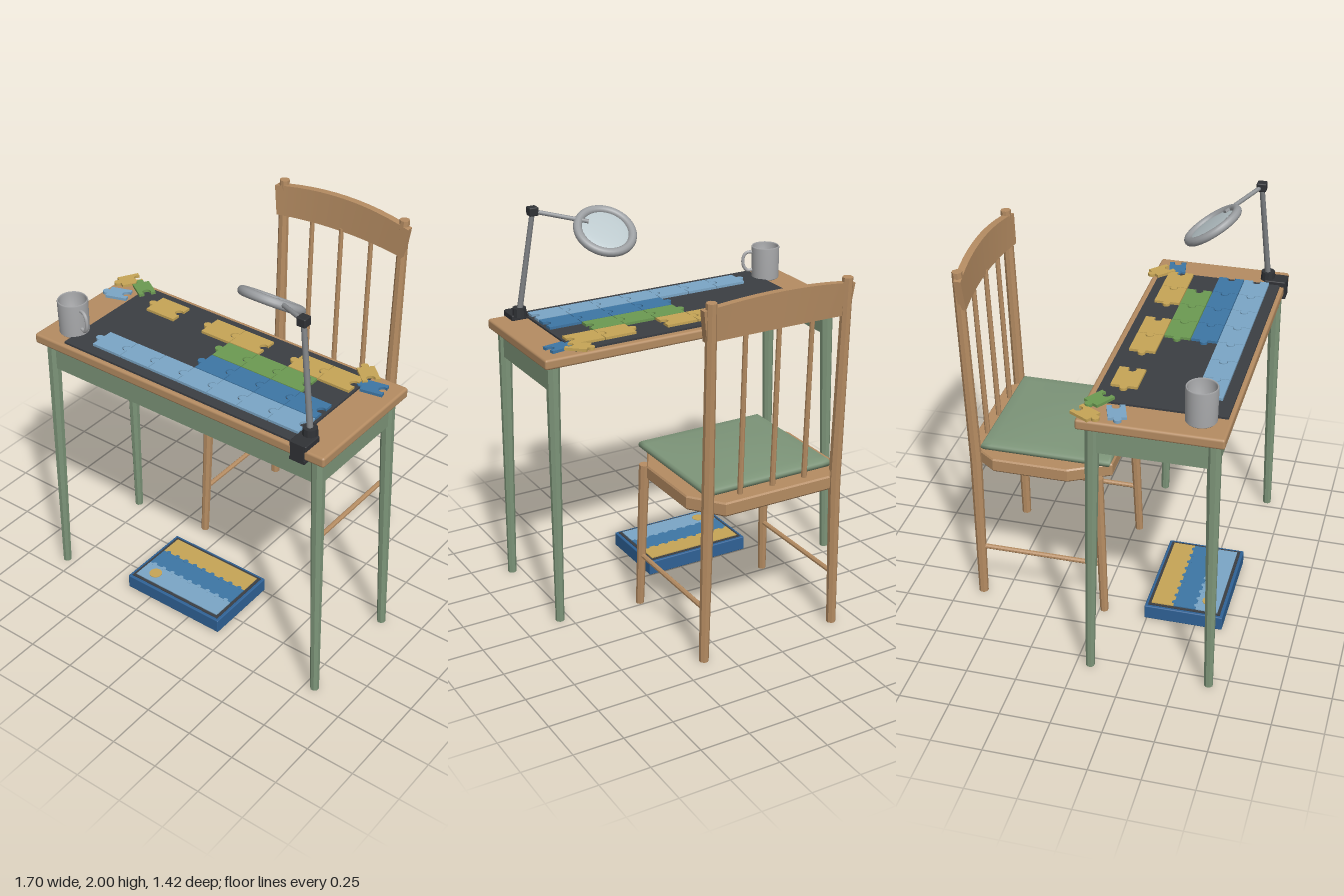
import * as THREE from 'three';
import { mergeVertices } from 'three/addons/utils/BufferGeometryUtils.js';
import { RoundedBoxGeometry } from 'three/addons/geometries/RoundedBoxGeometry.js';

const mat = (color, extra = {}) => new THREE.MeshStandardMaterial({ color, ...extra });
const V = (x, y, z) => new THREE.Vector3(x, y, z);
const WOOD = 0xb58c62, GREEN = 0x7d9579, DARK = 0x303236, SLATE = 0x3b3e43;
const YELLOW = 0xc6a556, LEAF = 0x6c9a52, BLUE = 0x3d76a5, SKY = 0x7ba6c6, NAVY = 0x2f6296;

export function createModel() {
  const model = new THREE.Group();
  const group = (name) => {
    const g = new THREE.Group();
    g.name = name;
    model.add(g);
    return g;
  };
  const add = (parent, name, geo, color, extra) => {
    const m = new THREE.Mesh(geo, mat(color, extra));
    m.name = name;
    parent.add(m);
    return m;
  };
  // box from its min and max corners, optionally rounded
  const box = (parent, name, a, b, color, r = 0) => {
    const s = b.map((v, i) => v - a[i]);
    const geo = r ? new RoundedBoxGeometry(...s, 2, r) : new THREE.BoxGeometry(...s);
    const m = add(parent, name, geo, color);
    m.position.set(...a.map((v, i) => (v + b[i]) / 2));
    return m;
  };
  // tapered rod between two points
  const rod = (parent, name, a, b, ra, rb, color, sides = 8, flat = true) => {
    const geo = new THREE.CylinderGeometry(rb, ra, a.distanceTo(b), sides);
    geo.rotateY(Math.PI / sides);
    const m = add(parent, name, geo, color, { flatShading: flat });
    m.position.copy(a).lerp(b, 0.5);
    m.quaternion.setFromUnitVectors(V(0, 1, 0), b.clone().sub(a).normalize());
    return m;
  };

  // desk: top, three aprons, splayed tapered legs
  const desk = group('desk');
  box(desk, 'deskTop', [-0.845, 1.37, 0.02], [0.845, 1.422, 0.7], WOOD, 0.012);
  box(desk, 'frontApron', [-0.775, 1.235, 0.63], [0.775, 1.37, 0.66], GREEN);
  for (const s of [-1, 1]) {
    box(desk, 'sideApron', [s * 0.785 - 0.015, 1.235, 0.085], [s * 0.785 + 0.015, 1.37, 0.645], GREEN);
    for (const [zb, zt] of [[0.66, 0.643], [0.07, 0.085]])
      rod(desk, 'deskLeg', V(s * 0.802, 0, zb), V(s * 0.78, 1.37, zt), 0.022, 0.034, GREEN);
  }

  // chair: chamfered seat, domed cushion, legs, back
  const chair = group('chair');
  const half = [[0.3, 0.05], [0.41, -0.15], [0.41, -0.53], [0.29, -0.69]];
  const outline = [...half, ...half.slice().reverse().map(([x, z]) => [-x, z])];
  const seatShape = new THREE.Shape(outline.map(([x, z]) => new THREE.Vector2(x, -z)));
  const seat = add(chair, 'seat', new THREE.ExtrudeGeometry(seatShape, {
    depth: 0.055, bevelThickness: 0.008, bevelSize: 0.006, bevelOffset: -0.006, bevelSegments: 1,
  }).rotateX(-Math.PI / 2), WOOD);
  seat.position.y = 0.786;

  let cushionGeo = new THREE.BoxGeometry(0.7, 0.04, 0.66, 14, 4, 14);
  cushionGeo.deleteAttribute('uv');
  cushionGeo.deleteAttribute('normal');
  cushionGeo = mergeVertices(cushionGeo);
  const cp = cushionGeo.attributes.position;
  for (let i = 0; i < cp.count; i++) {
    const u = cp.getX(i) / 0.35, v = cp.getZ(i) / 0.33, k = cp.getY(i) / 0.02;
    const inset = 1 - 0.035 * k * k;
    const dome = k > 0 ? 0.018 * k * (1 - u * u) * (1 - v * v) : 0;
    cp.setXYZ(i, cp.getX(i) * inset, cp.getY(i) + dome, cp.getZ(i) * inset);
  }
  cushionGeo.computeVertexNormals();
  add(chair, 'cushion', cushionGeo, GREEN).position.set(0, 0.873, -0.28);

  for (const s of [-1, 1]) {
    rod(chair, 'frontLeg', V(s * 0.37, 0, 0.025), V(s * 0.35, 0.79, -0.01), 0.021, 0.027, WOOD);
    rod(chair, 'rearLeg', V(s * 0.37, 0, -0.625), V(s * 0.355, 0.8, -0.635), 0.024, 0.03, WOOD);
    rod(chair, 'backPost', V(s * 0.355, 0.8, -0.635), V(s * 0.36, 1.83, -0.677), 0.03, 0.026, WOOD);
    rod(chair, 'sideStretcher', V(s * 0.362, 0.28, 0.01), V(s * 0.364, 0.28, -0.62), 0.013, 0.013, WOOD);
  }
  for (const x of [-0.178, 0, 0.178])
    rod(chair, 'spindle', V(x, 0.84, -0.632), V(x, 1.67, -0.668), 0.014, 0.012, WOOD);

  // crest rail bowed backwards with an arched top
  const railGeo = new THREE.BoxGeometry(2, 2, 0.036, 12, 1, 1);
  const rp = railGeo.attributes.position;
  for (let i = 0; i < rp.count; i++) {
    const t = rp.getX(i), up = rp.getY(i) > 0, arc = 1 - t * t;
    rp.setXYZ(i, t * (up ? 0.4 : 0.38), up ? 1.797 + 0.036 * arc : 1.642 + 0.014 * arc,
      rp.getZ(i) - (up ? 0.665 : 0.652) - 0.027 * arc);
  }
  railGeo.computeVertexNormals();
  add(chair, 'crestRail', railGeo, WOOD);

  // jigsaw mat and pieces
  const puzzle = group('puzzle');
  box(puzzle, 'puzzleMat', [-0.67, 1.42, 0.055], [0.67, 1.432, 0.68], SLATE);
  const pieceGeo = (w, h) => {
    const a = Math.acos(0.6), p = new THREE.Shape();
    p.moveTo(-w / 2, -h / 2);
    p.lineTo(w / 2, -h / 2);
    p.absarc(w / 2 - 0.0126, 0, 0.021, -a, a, true);
    p.lineTo(w / 2, h / 2);
    p.lineTo(-w / 2, h / 2);
    p.absarc(-w / 2 - 0.011, 0, 0.0185, a, -a, false);
    p.closePath();
    return new THREE.ExtrudeGeometry(p, { depth: 0.014, bevelEnabled: false, curveSegments: 10 })
      .rotateX(-Math.PI / 2);
  };
  const rows = [[YELLOW, [0, 2, 3, 5, 6]], [LEAF, [3, 4, 5]], [BLUE, [3, 4, 5, 6]], [SKY, [0, 1, 2, 3, 4, 5, 6]]];
  const placed = pieceGeo(0.167, 0.127);
  rows.forEach(([color, cols], r) => cols.forEach((c) => {
    add(puzzle, 'placedPiece', placed, color).position.set(-0.452 + c * 0.171, 1.431, 0.168 + r * 0.1315);
  }));
  const loose = pieceGeo(0.11, 0.085);
  for (const [color, x, z, deg, y] of [[YELLOW, -0.79, 0.055, 60, 1.424], [LEAF, -0.67, 0.09, -32, 1.433],
    [SKY, -0.75, 0.19, 18, 1.424], [YELLOW, 0.655, 0.065, -42, 1.435], [BLUE, 0.73, 0.13, 10, 1.424]]) {
    const m = add(puzzle, 'loosePiece', loose, color);
    m.position.set(x, y, z);
    m.rotation.y = THREE.MathUtils.degToRad(deg);
  }

  // mug with hollow inside and a side handle
  const mug = group('mug');
  mug.position.set(-0.707, 1.422, 0.565);
  mug.rotation.y = -0.3;
  const profile = [[0, 0], [0.068, 0], [0.073, 0.006], [0.075, 0.172], [0.071, 0.178], [0.066, 0.172], [0.064, 0.015], [0, 0.012]];
  add(mug, 'mugBody', new THREE.LatheGeometry(profile.map(([x, y]) => new THREE.Vector2(x, y)), 32), 0xa9aaac,
    { side: THREE.DoubleSide });
  const handlePath = new THREE.CatmullRomCurve3([V(0.068, 0.145, 0), V(0.1, 0.145, 0), V(0.119, 0.125, 0),
    V(0.12, 0.075, 0), V(0.1, 0.047, 0), V(0.068, 0.047, 0)]);
  add(mug, 'mugHandle', new THREE.TubeGeometry(handlePath, 24, 0.009, 8), 0xa9aaac);

  // clamped magnifier lamp
  const lamp = group('magnifierLamp');
  const foot = V(0.71, 1.46, 0.61), elbow = V(0.635, 1.977, 0.567), head = V(0.335, 1.88, 0.385);
  box(lamp, 'clampUpper', [0.665, 1.42, 0.6], [0.755, 1.45, 0.705], DARK, 0.005);
  box(lamp, 'clampSpine', [0.675, 1.36, 0.698], [0.745, 1.45, 0.71], DARK);
  box(lamp, 'clampLower', [0.67, 1.355, 0.62], [0.75, 1.371, 0.71], DARK);
  rod(lamp, 'pivot', V(0.71, 1.44, 0.61), V(0.71, 1.485, 0.61), 0.037, 0.034, DARK, 12);
  rod(lamp, 'lowerArm', foot, elbow, 0.015, 0.013, 0x7f8285, 12, false);
  box(lamp, 'elbowJoint', [0.611, 1.956, 0.543], [0.659, 2, 0.591], DARK, 0.006);
  rod(lamp, 'upperArm', elbow, V(0.4, 1.925, 0.43), 0.011, 0.011, 0x8d9093, 12, false);
  const lens = new THREE.Group();
  lens.name = 'magnifierHead';
  lens.position.copy(head);
  lens.rotation.x = -0.6;
  lamp.add(lens);
  add(lens, 'lensRing', new THREE.TorusGeometry(0.138, 0.022, 12, 40).rotateX(Math.PI / 2), 0x9a9da0);
  add(lens, 'lensGlass', new THREE.SphereGeometry(0.128, 32, 12).scale(1, 0.09, 1), 0xb9c6ca);

  // puzzle box on the floor with a striped lid picture
  const carton = group('puzzleBox');
  box(carton, 'cartonBody', [-0.39, 0.005, 0.24], [0.195, 0.08, 0.64], NAVY, 0.005);
  box(carton, 'pictureBorder', [-0.375, 0.078, 0.255], [0.18, 0.083, 0.625], SLATE);
  [[YELLOW, 0.27], [BLUE, 0.383], [SKY, 0.497]].forEach(([color, z], i) => {
    box(carton, 'pictureStripe', [-0.36, 0.08, z], [0.165, 0.088, z + 0.113], color);
    // knobs that lock each stripe into the one before
    if (i) for (let k = 0; k < 9; k++)
      rod(carton, 'stripeKnob', V(-0.33 + k * 0.058, 0.08, z), V(-0.33 + k * 0.058, 0.089, z), 0.013, 0.013, color, 12);
  });
  rod(carton, 'pictureSun', V(-0.28, 0.08, 0.55), V(-0.28, 0.091, 0.55), 0.033, 0.033, YELLOW, 24);
  return model;
}
